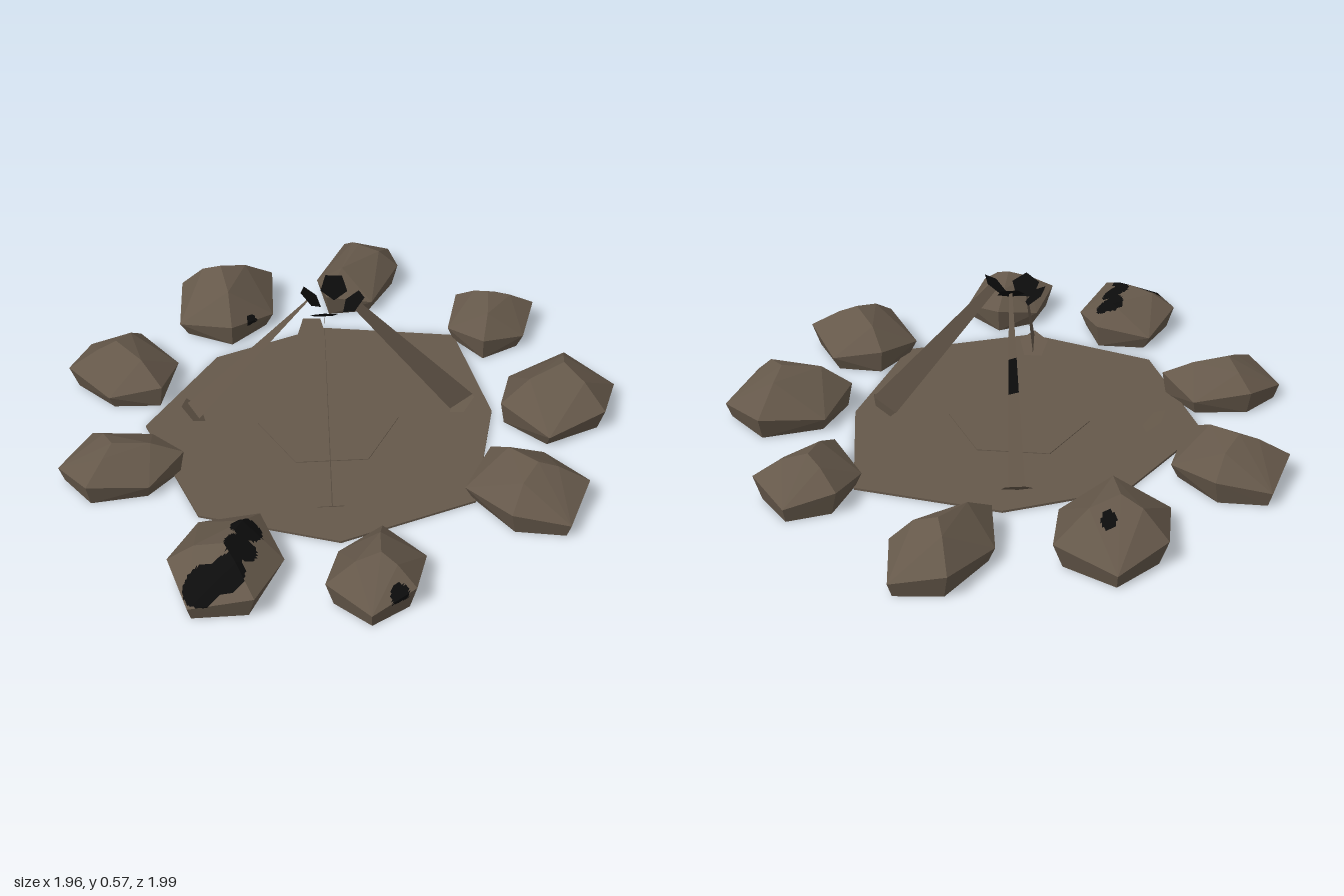
import * as THREE from 'three';
import { ConvexGeometry } from 'three/addons/geometries/ConvexGeometry.js';

const earth = new THREE.MeshStandardMaterial({ color: 0x65584a, flatShading: true });
earth.name = 'earth brown';
const soot = new THREE.MeshStandardMaterial({ color: 0x0c0c0c, flatShading: true });
soot.name = 'soot black';

function named(name, geometry, material) {
  const mesh = new THREE.Mesh(geometry, material);
  mesh.name = name;
  return mesh;
}

// Points of a regular polygon, as [cos, sin] pairs
const ring = (sides) => Array.from({ length: sides }, (_, i) => {
  const k = (i / sides) * Math.PI * 2;
  return [Math.cos(k), Math.sin(k)];
});

// Flat-faced geometry from a convex loop of points, one- or two-sided
function panel(points, twoSided) {
  const tris = [];
  for (let i = 1; i < points.length - 1; i++) {
    tris.push(points[0], points[i], points[i + 1]);
    if (twoSided) tris.push(points[0], points[i + 1], points[i]);
  }
  const g = new THREE.BufferGeometry().setFromPoints(tris);
  g.computeVertexNormals();
  return g;
}

// Horizontal slab from an outline of [x, z] pairs
function slab(outline, y, thick) {
  const shape = new THREE.Shape(outline.map(([x, z]) => new THREE.Vector2(x, -z)));
  const g = new THREE.ExtrudeGeometry(shape, { depth: thick, bevelEnabled: false });
  return g.rotateX(-Math.PI / 2).translate(0, y, 0);
}

// Faceted stone: six-sided foot and belt, sloping shoulder and a peak.
// The long axis points along the given angle, in degrees from +x towards +z.
function stoneGeometry(x, z, long, short, degrees, height) {
  const t = THREE.MathUtils.degToRad(degrees);
  const at = (u, v, y) => new THREE.Vector3(
    x + u * long * Math.cos(t) - v * short * Math.sin(t), y,
    z + u * long * Math.sin(t) + v * short * Math.cos(t));
  const pts = [at(0.1, -0.08, height)];
  ring(6).forEach(([u, v], i) => {
    const r = i ? 0.98 + 0.08 * Math.sin(i * 2.3 + degrees) : 1;
    pts.push(at(u * r * 0.92, v * r * 0.92, 0));
    pts.push(at(u * r, v * r * 1.1, i % 2 ? 0.09 : 0.055));
    if (i % 2) pts.push(at(u * 0.5, v * 0.5, height * 0.86));
  });
  return new ConvexGeometry(pts);
}

// Split the facets finely and blacken the pieces that lie within the burns
function scorch(base, burns) {
  const clean = [], burnt = [];
  const split = (a, b, c, level) => {
    if (level === 0) {
      const m = a.clone().add(b).add(c).divideScalar(3);
      const black = m.y > 0.06 && burns.some(([x, z, r]) => Math.hypot(m.x - x, m.z - z) < r);
      (black ? burnt : clean).push(a, b, c);
      return;
    }
    const ab = a.clone().lerp(b, 0.5), bc = b.clone().lerp(c, 0.5), ca = c.clone().lerp(a, 0.5);
    split(a, ab, ca, level - 1);
    split(ab, b, bc, level - 1);
    split(ca, bc, c, level - 1);
    split(ab, bc, ca, level - 1);
  };
  const p = base.attributes.position;
  for (let i = 0; i < p.count; i += 3) {
    split(...[0, 1, 2].map((k) => new THREE.Vector3().fromBufferAttribute(p, i + k)), 4);
  }
  const g = new THREE.BufferGeometry().setFromPoints([...clean, ...burnt]);
  g.computeVertexNormals();
  g.addGroup(0, clean.length, 0);
  g.addGroup(clean.length, burnt.length, 1);
  return g;
}

// Leaning pole: a thin tapering strip with a pentagonal foot and a charred tip
function pole({ name, foot, tip, facing, wide, narrow, twoSided, charred }) {
  const group = new THREE.Group();
  group.name = name;
  const a = new THREE.Vector3(...foot), b = new THREE.Vector3(...tip);
  const axis = b.clone().sub(a).normalize();
  const side = new THREE.Vector3(...facing).cross(axis).normalize();
  const edge = (t, s) => a.clone().lerp(b, t)
    .addScaledVector(side, (s * THREE.MathUtils.lerp(wide, narrow, t)) / 2);
  const strip = (t0, t1, material) => group.add(named('poleStrip',
    panel([edge(t0, 1), edge(t0, -1), edge(t1, -1), edge(t1, 1)], twoSided), material));
  if (charred) {
    strip(0, charred[0], earth);
    strip(charred[0], charred[1], soot);
    strip(charred[1], 1, earth);
  } else strip(0, 1, earth);

  const turn = new THREE.Quaternion().setFromUnitVectors(new THREE.Vector3(0, 1, 0), axis);
  const cap = (centre, r) => panel(ring(5).map(([u, v]) =>
    new THREE.Vector3(v * r, 0, u * r).applyQuaternion(turn).add(centre)), true);
  group.add(named('poleFoot', cap(a, 0.056), earth), named('charredTip', cap(b, 0.048), soot));
  return group;
}

export function createModel() {
  const model = new THREE.Group();
  model.name = 'campfire';

  // Ground patch and the hearth in its middle
  model.add(named('groundPatch', slab([
    [-0.05, -0.54], [-0.45, -0.38], [-0.7, 0], [-0.51, 0.47],
    [-0.05, 0.62], [0.41, 0.46], [0.53, 0], [0.45, -0.46],
  ], 0, 0.008), earth));
  const hexagon = ring(6).map(([u, v]) => [u * 0.25 - 0.055, 0.015 - v * 0.25]);
  model.add(named('hearth', slab(hexagon, 0.008, 0.003), earth));

  // Ring of stones: x, z, long and short radius, angle, height
  [
    [0.11, -0.81, 0.235, 0.14, -54, 0.19],
    [0.59, -0.49, 0.185, 0.16, -75, 0.17],
    [0.76, 0, 0.23, 0.19, -16, 0.2],
    [0.58, 0.46, 0.22, 0.17, 60, 0.18],
    [-0.77, 0.25, 0.21, 0.15, 178, 0.16],
    [-0.78, -0.27, 0.21, 0.17, -130, 0.18],
  ].forEach((spec) => model.add(named('stone', stoneGeometry(...spec), earth)));

  // Stones with scorch marks
  const scorched = (spec, burns) =>
    model.add(named('scorchedStone', scorch(stoneGeometry(...spec), burns), [earth, soot]));
  scorched([-0.41, -0.67, 0.23, 0.19, -95, 0.21], [[-0.395, -0.76, 0.025], [-0.31, -0.51, 0.022]]);
  scorched([0.05, 0.815, 0.18, 0.15, 100, 0.17], [[0.11, 0.94, 0.03]]);
  scorched([-0.42, 0.74, 0.22, 0.175, 122, 0.17],
    [[-0.35, 0.67, 0.05], [-0.37, 0.76, 0.05], [-0.41, 0.85, 0.055], [-0.49, 0.87, 0.06]]);

  // Four poles leaning together over the hearth
  [
    { name: 'leftPole', foot: [0.42, 0.05, -0.01], tip: [0.03, 0.53, 0.03], facing: [0, 0, 1],
      wide: 0.1, narrow: 0.03, twoSided: true },
    { name: 'backPole', foot: [-0.09, 0.05, -0.47], tip: [-0.03, 0.54, -0.05], facing: [0.74, 0.34, -0.54],
      wide: 0.09, narrow: 0.02, charred: [0.48, 0.66] },
    { name: 'rightPole', foot: [-0.53, 0.05, -0.02], tip: [-0.11, 0.52, -0.02], facing: [-0.5, 0.4, 0.74],
      wide: 0.07, narrow: 0.005 },
    { name: 'frontPole', foot: [-0.07, 0.04, 0.49], tip: [-0.07, 0.51, 0.07], facing: [-1, 0, 0],
      wide: 0.08, narrow: 0.02 },
  ].forEach((spec) => model.add(pole(spec)));

  return model;
}
